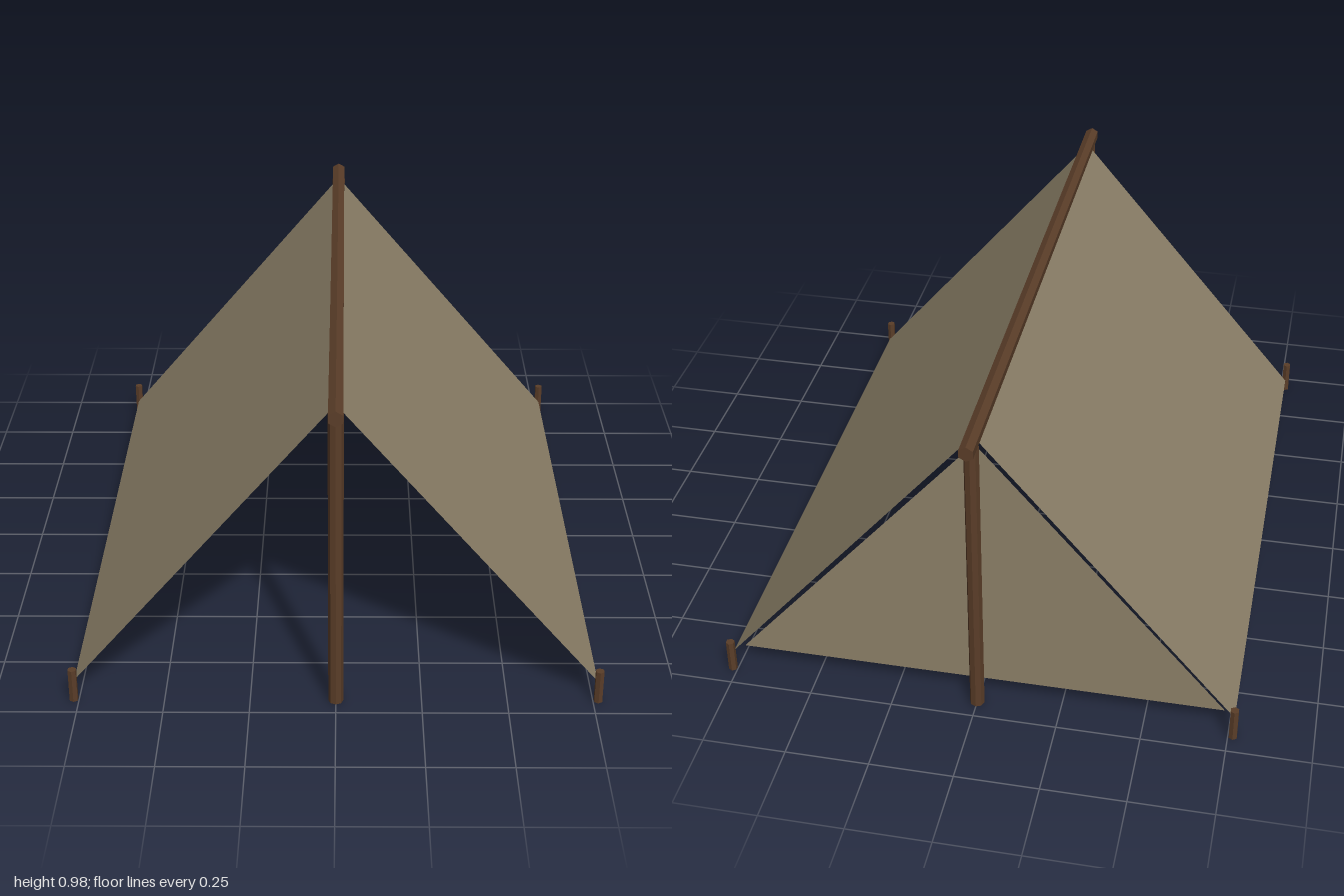
import * as THREE from 'three';

const wood = new THREE.MeshStandardMaterial({ color: 0x5a3d28, flatShading: true });
const canvas = new THREE.MeshStandardMaterial({ color: 0x8c8068, side: THREE.DoubleSide });

function pole(name, radius, length, sides) {
  const mesh = new THREE.Mesh(new THREE.CylinderGeometry(radius, radius, length, sides), wood);
  mesh.name = name;
  return mesh;
}

export function createModel() {
  const group = new THREE.Group();
  group.name = 'ridgeTent';

  const eaveX = 0.765, eaveY = 0.05, ridgeY = 0.952;
  const roofLength = 1.825, postZ = 0.938;

  // Ridge pole along z
  const ridge = pole('ridgePole', 0.0235, 2, 6);
  ridge.rotation.x = Math.PI / 2;
  ridge.position.y = ridgeY;
  group.add(ridge);

  // Upright posts and the four corner pegs
  for (const end of [1, -1]) {
    const post = pole(end > 0 ? 'frontPost' : 'backPost', 0.022, 0.94, 8);
    post.position.set(0, 0.47, end * postZ);
    group.add(post);
    for (const side of [1, -1]) {
      const peg = pole((end > 0 ? 'front' : 'back') + (side > 0 ? 'Left' : 'Right') + 'Peg', 0.0135, 0.105, 6);
      peg.position.set(side * eaveX, 0.0525, end * postZ);
      group.add(peg);
    }
  }

  // Sloping canvas sheets from ridge to eave
  const slope = Math.hypot(eaveX, ridgeY - eaveY);
  const pitch = Math.atan2(ridgeY - eaveY, eaveX);
  for (const side of [1, -1]) {
    const sheet = new THREE.Mesh(
      new THREE.PlaneGeometry(slope, roofLength).rotateX(-Math.PI / 2).rotateZ(-side * pitch), canvas);
    sheet.name = side > 0 ? 'leftRoofSheet' : 'rightRoofSheet';
    sheet.position.set(side * eaveX / 2, (ridgeY + eaveY) / 2, 0);
    group.add(sheet);
  }

  // Triangular back wall, facing outward, slightly inside the roof
  const triangle = new THREE.Shape([
    new THREE.Vector2(-0.734, 0.063),
    new THREE.Vector2(0.734, 0.063),
    new THREE.Vector2(0, 0.918),
  ]);
  const wall = new THREE.Mesh(new THREE.ShapeGeometry(triangle).rotateY(Math.PI), canvas);
  wall.name = 'backWall';
  wall.position.z = -0.9;
  group.add(wall);

  return group;
}
